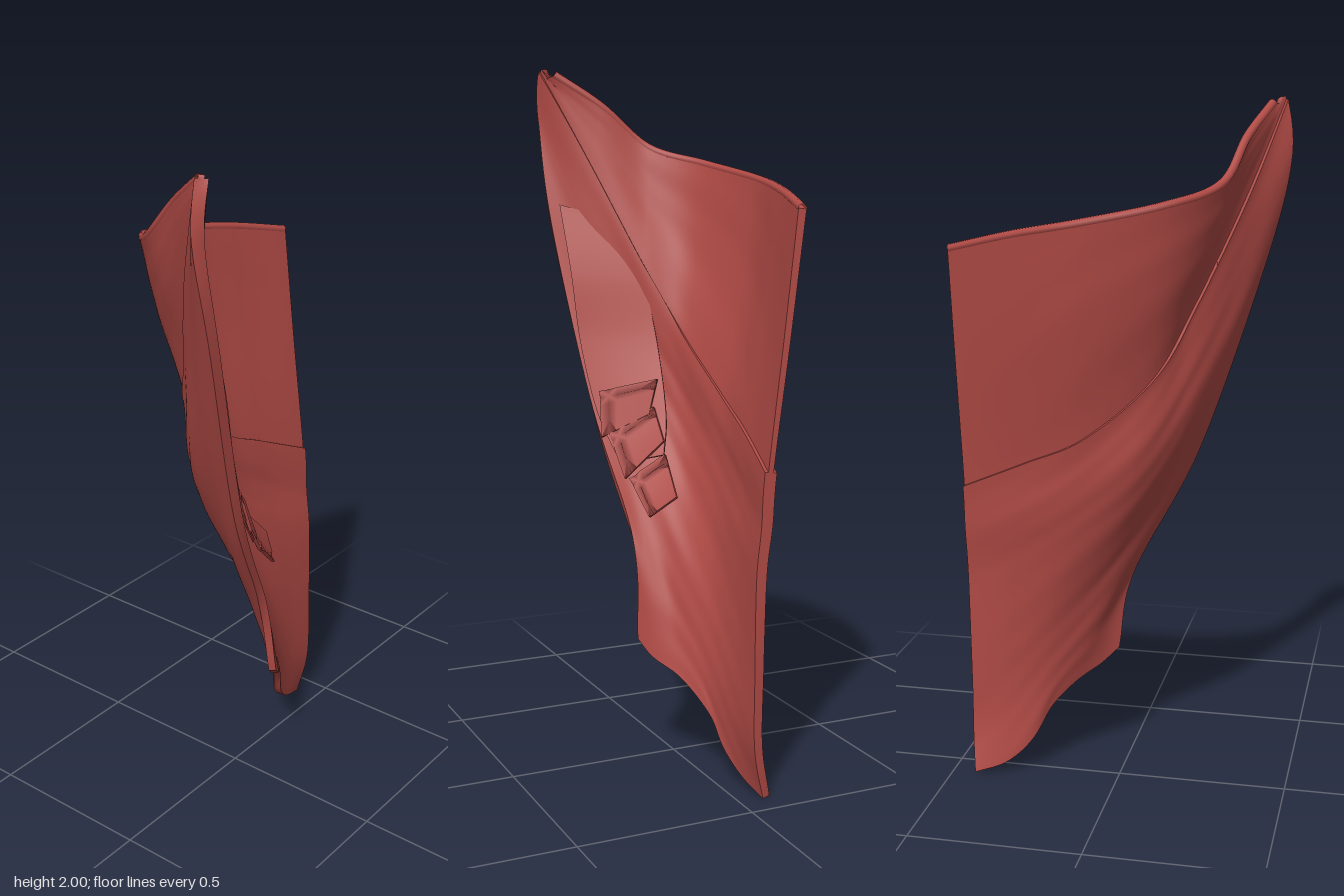
import * as THREE from 'three';
import { mergeGeometries } from 'three/addons/utils/BufferGeometryUtils.js';
import { ParametricGeometry } from 'three/addons/geometries/ParametricGeometry.js';

const V = (a) => new THREE.Vector3(...a);
const spline = (pts) => new THREE.CatmullRomCurve3(pts, false, 'catmullrom', 0.5);

// Smooth surface through sections: u runs along a section, v from section to section
function surface(sections) {
  const curves = sections.map((s) => spline(s.map(V)));
  return (u, v) => spline(curves.map((c) => c.getPoint(u))).getPoint(v);
}

// Closed sheet of half thickness h, thinning downward, over the range v0..v1 of a surface
function sheet(surf, h, v0, v1, nu, nv, folds = 0) {
  const at = (u, t, side) => {
    const v = v0 + (v1 - v0) * t;
    const e = 0.002, ua = Math.min(u, 1 - e), va = Math.min(v, 1 - e);
    const o = surf(ua, va);
    const du = surf(ua + e, va).sub(o), dv = surf(ua, va + e).sub(o);
    const n = dv.cross(du).normalize();
    const ripple = folds * Math.sin(v * 75 + 5 * Math.sin(u * 4)) * Math.sin(u * Math.PI);
    return surf(u, v).addScaledVector(n, side * h * (1 - 0.35 * t) + ripple);
  };
  const patch = (f, a, b) =>
    new ParametricGeometry((u, v, target) => target.copy(f(u, v)), a, b);
  return mergeGeometries([
    patch((u, v) => at(1 - u, v, 1), nu, nv), // front
    patch((u, v) => at(u, v, -1), nu, nv), // back
    patch((u, s) => at(u, 0, 1 - 2 * s), nu, 1), // top edge
    patch((u, s) => at(u, 1, 2 * s - 1), nu, 1), // bottom edge
    patch((s, v) => at(0, v, 1 - 2 * s), 1, nv), // outer edge
    patch((s, v) => at(1, v, 2 * s - 1), 1, nv), // inner edge
  ]);
}

// Sections of the draped panel, from the top rim to the ragged hem; the third is the crease
const RIM = [[-0.395, 1.98, 0.205], [-0.34, 1.89, 0.08], [-0.29, 1.77, -0.05], [-0.16, 1.72, -0.175],
  [0.06, 1.675, -0.232], [0.25, 1.64, -0.21], [0.44, 1.595, -0.165]];
const PANEL = [
  RIM,
  [[-0.407, 1.975, 0.218], [-0.335, 1.82, 0.09], [-0.255, 1.62, -0.035], [-0.14, 1.5, -0.14],
    [0.068, 1.4, -0.193], [0.25, 1.34, -0.172], [0.44, 1.26, -0.125]],
  [[-0.425, 1.99, 0.235], [-0.32, 1.7, 0.11], [-0.2, 1.42, 0], [-0.1, 1.23, -0.08],
    [0.08, 1.07, -0.12], [0.25, 0.99, -0.11], [0.44, 0.905, -0.08]],
  [[-0.44, 1.84, 0.235], [-0.305, 1.5, 0.12], [-0.185, 1.22, -0.002], [-0.07, 1.03, -0.08],
    [0.1, 0.905, -0.105], [0.265, 0.83, -0.097], [0.44, 0.76, -0.07]],
  [[-0.375, 1.55, 0.23], [-0.27, 1.28, 0.118], [-0.16, 1.05, 0.01], [-0.035, 0.87, -0.05],
    [0.115, 0.76, -0.078], [0.28, 0.68, -0.073], [0.44, 0.62, -0.055]],
  [[-0.2, 1, 0.168], [-0.125, 0.87, 0.092], [-0.03, 0.74, 0.035], [0.08, 0.6, 0],
    [0.2, 0.5, -0.038], [0.32, 0.42, -0.05], [0.44, 0.35, -0.05]],
  [[-0.015, 0.62, 0.115], [0.02, 0.56, 0.09], [0.08, 0.47, 0.045], [0.16, 0.38, 0.008],
    [0.24, 0.3, -0.022], [0.33, 0.22, -0.042], [0.44, 0.15, -0.05]],
  [[0.03, 0.365, 0.12], [0.08, 0.32, 0.095], [0.15, 0.275, 0.045], [0.22, 0.2, 0],
    [0.27, 0.1, -0.035], [0.34, 0.035, -0.06], [0.43, 0.002, -0.08]],
];
const CREASE = 2 / 7;

// Long band lying over the outer edge, each row from outer to inner side
const BAND = [
  [[-0.36, 1.6, 0.205], [-0.265, 1.55, 0.045]],
  [[-0.295, 1.4, 0.195], [-0.2, 1.4, 0.01]],
  [[-0.25, 1.2, 0.185], [-0.135, 1.2, -0.01]],
  [[-0.175, 1, 0.163], [-0.05, 1, 0]],
  [[-0.08, 0.86, 0.13], [0, 0.89, 0.03]],
];

// Stepped flaps at the end of the band
const FLAPS = [
  [[[-0.18, 1.06, 0.155], [-0.08, 1.1, 0.015]], [[-0.14, 0.93, 0.165], [-0.07, 1, 0.045]]],
  [[[-0.13, 0.94, 0.145], [-0.07, 1.02, 0.03]], [[-0.05, 0.82, 0.13], [0, 0.93, 0.03]]],
  [[[-0.04, 0.82, 0.12], [0, 0.89, 0.025]], [[0.055, 0.725, 0.1], [0.1, 0.785, 0.035]]],
];

export function createModel() {
  const group = new THREE.Group();
  const red = new THREE.MeshStandardMaterial({ color: 0xb04a45, side: THREE.DoubleSide });
  red.name = 'red cloth';
  const add = (name, geometry) => {
    const mesh = new THREE.Mesh(geometry, red);
    mesh.name = name;
    group.add(mesh);
  };

  // Thin upper layer tucked into the thicker lower layer along the crease
  const panel = surface(PANEL);
  add('upperLayer', sheet(panel, 0.011, 0, CREASE + 0.02, 48, 24, 0.0005));
  add('lowerLayer', sheet(panel, 0.017, CREASE, 1, 48, 60, 0.0006));

  // Rolled hem along the top
  add('topHem', new THREE.TubeGeometry(spline(RIM.map(V)), 60, 0.013, 8, false));

  // Band and flaps
  add('band', sheet(surface(BAND), 0.006, 0, 1, 6, 24));
  FLAPS.forEach((f, i) => add('flap' + (i + 1), sheet(surface(f), 0.007, 0, 1, 2, 2)));

  return group;
}
